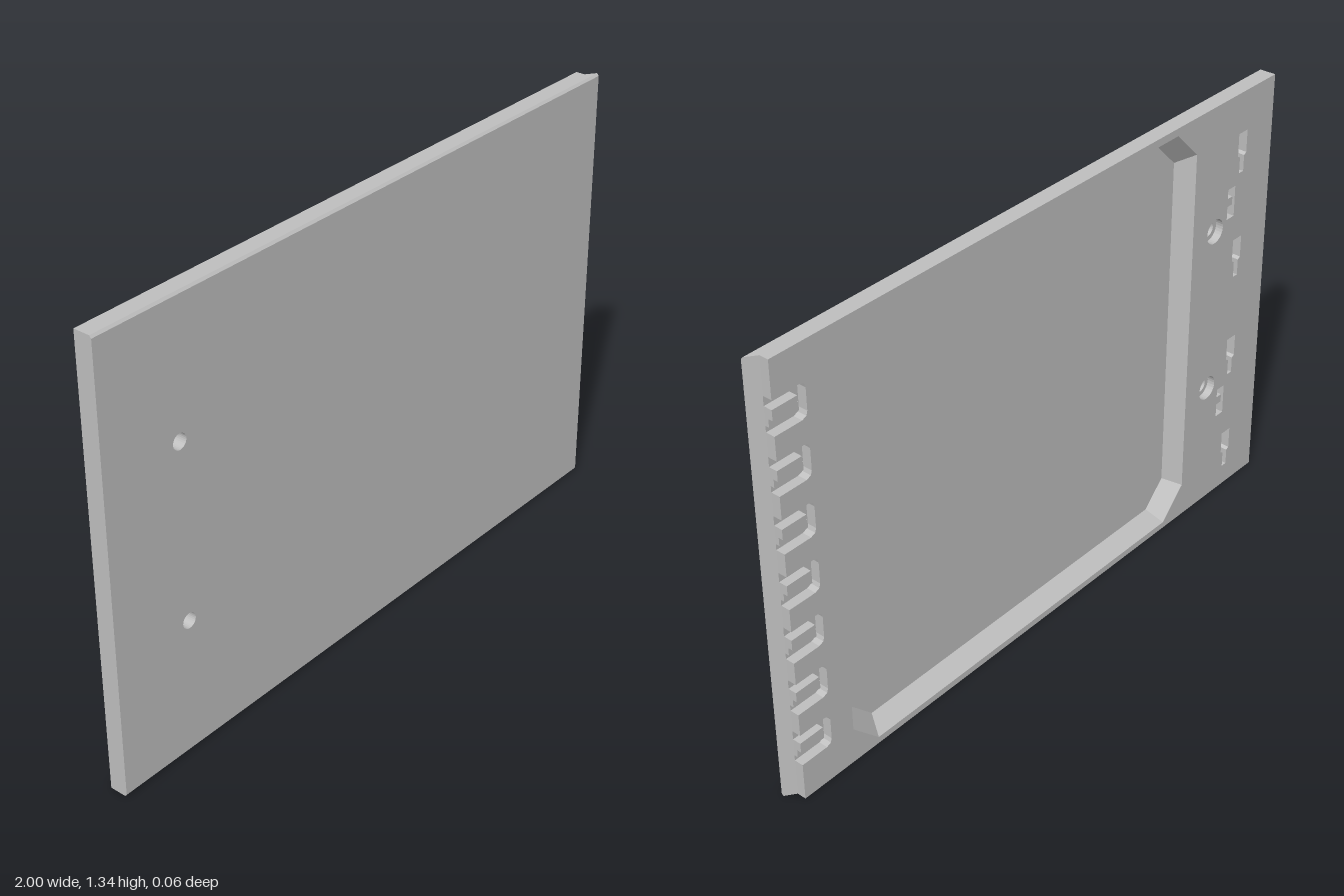
import * as THREE from 'three';

const H = 1.335, BACK = -0.028, MID = 0, FRONT = 0.028, EDGE = 0.97;

// closed ring of side faces between two loops (counter-clockwise = facing outward)
function wall(a, za, b, zb, inward = false) {
  const pos = [];
  const n = a.length;
  for (let i = 0; i < n; i++) {
    const j = (i + 1) % n;
    const p = [a[i][0], a[i][1], za], q = [a[j][0], a[j][1], za];
    const r = [b[j][0], b[j][1], zb], s = [b[i][0], b[i][1], zb];
    const quad = inward ? [p, r, q, p, s, r] : [p, q, r, p, r, s];
    quad.forEach((v) => pos.push(...v));
  }
  const g = new THREE.BufferGeometry();
  g.setAttribute('position', new THREE.Float32BufferAttribute(pos, 3));
  g.computeVertexNormals();
  return g;
}

// flat face at depth z, with holes, facing front or back
function face(loop, z, holes = [], towardBack = true) {
  const vec = (l) => l.map(([x, y]) => new THREE.Vector2(x, y));
  const shape = new THREE.Shape(vec(loop));
  holes.forEach((h) => shape.holes.push(new THREE.Path(vec(h))));
  const g = new THREE.ShapeGeometry(shape);
  if (towardBack) {
    const ix = g.index.array;
    for (let i = 0; i < ix.length; i += 3) [ix[i], ix[i + 1]] = [ix[i + 1], ix[i]];
    g.computeVertexNormals();
  }
  return g.translate(0, 0, z);
}

const rect = (x0, y0, x1, y1) => [[x0, y0], [x1, y0], [x1, y1], [x0, y1]];

const circle = (x, y, r, n = 28) => Array.from({ length: n }, (_, i) => {
  const t = (i / n) * Math.PI * 2;
  return [x + r * Math.cos(t), y + r * Math.sin(t)];
});

// rectangle with cut corners
const octagon = (x0, y0, x1, y1, c) => [
  [x0 + c, y0], [x1 - c, y0], [x1, y0 + c], [x1, y1 - c],
  [x1 - c, y1], [x0 + c, y1], [x0, y1 - c], [x0, y0 + c],
];

export function createModel() {
  const group = new THREE.Group();
  const grey = new THREE.MeshStandardMaterial({ color: 0xc0c0c0 });
  grey.name = 'plain grey';

  const add = (name, geometry) => {
    const m = new THREE.Mesh(geometry, grey);
    m.name = name;
    group.add(m);
  };
  const box = (name, x0, x1, y0, y1, z0, z1) => add(name,
    new THREE.BoxGeometry(x1 - x0, y1 - y0, z1 - z0)
      .translate((x0 + x1) / 2, (y0 + y1) / 2, (z0 + z1) / 2));

  const backHoles = [], frontHoles = [];
  const pocket = (name, loop, depth) => {
    backHoles.push(loop);
    add(name + 'Wall', wall(loop, BACK, loop, BACK + depth, true));
    add(name + 'Floor', face(loop, BACK + depth));
  };

  // large recess with sloping sides
  const rim = octagon(-0.638, 0.02, 0.786, 1.312, 0.09);
  const floor = octagon(-0.598, 0.06, 0.746, 1.272, 0.075);
  backHoles.push(rim);
  add('recessSlope', wall(rim, BACK, floor, 0.02, true));
  add('recessFloor', face(floor, 0.02));

  // counterbored screw holes
  for (const y of [0.408, 0.938]) {
    const bore = circle(-0.744, y, 0.038), hole = circle(-0.744, y, 0.023);
    backHoles.push(bore);
    frontHoles.push(hole);
    add('counterboreWall', wall(bore, BACK, bore, -0.004, true));
    add('counterboreSeat', face(bore, -0.004, [hole]));
    add('screwHoleWall', wall(hole, -0.004, hole, FRONT, true));
  }

  // keyhole slots, wide above and narrow below
  for (const y of [0.068, 0.406, 0.744, 1.083]) {
    const x = -0.858;
    pocket('keyhole', [
      [x - 0.01, y], [x + 0.01, y], [x + 0.01, y + 0.05], [x + 0.02, y + 0.056],
      [x + 0.02, y + 0.126], [x - 0.02, y + 0.126], [x - 0.02, y + 0.056], [x - 0.01, y + 0.05],
    ], 0.03);
  }

  // small clip pockets with a bridge across the middle
  for (const y of [0.278, 0.953]) {
    pocket('clipPocket', rect(-0.833, y, -0.799, y + 0.096), 0.03);
    box('clipBridge', -0.833, -0.799, y + 0.034, y + 0.06, BACK + 0.008, BACK + 0.03);
  }

  // back outline, notched along the left edge by seven hinge slots
  const outline = [[-1, 0], [EDGE, 0]];
  for (let i = 0; i < 7; i++) {
    const y0 = 0.116 + i * 0.1685, y1 = y0 + 0.1;
    outline.push([EDGE, y0], [0.882, y0], [0.868, y0 + 0.006], [0.864, y0 + 0.018],
      [0.864, y1 - 0.018], [0.868, y1 - 0.006], [0.882, y1], [EDGE, y1]);
    add('slotFloor', face(rect(0.864, y0, EDGE, y1), MID));
    box('slotRib', 0.89, EDGE, y0 + 0.042, y0 + 0.072, BACK + 0.002, MID);
    box('slotStep', 0.875, EDGE, y0 + 0.018, y0 + 0.042, BACK + 0.016, MID);
  }
  outline.push([EDGE, H], [-1, H]);

  // panel shell: back, rim, flared left edge, chamfered front
  const inner = rect(-1, 0, EDGE, H);
  const outer = rect(-1, 0, 1, H);
  const front = rect(-1, 0.007, 1, H - 0.007);
  add('backFace', face(outline, BACK, backHoles));
  add('backRim', wall(outline, BACK, outline, MID));
  add('flaredRim', wall(inner, MID, outer, 0.022));
  add('frontChamfer', wall(outer, 0.022, front, FRONT));
  add('frontFace', face(front, FRONT, frontHoles, false));

  return group;
}
